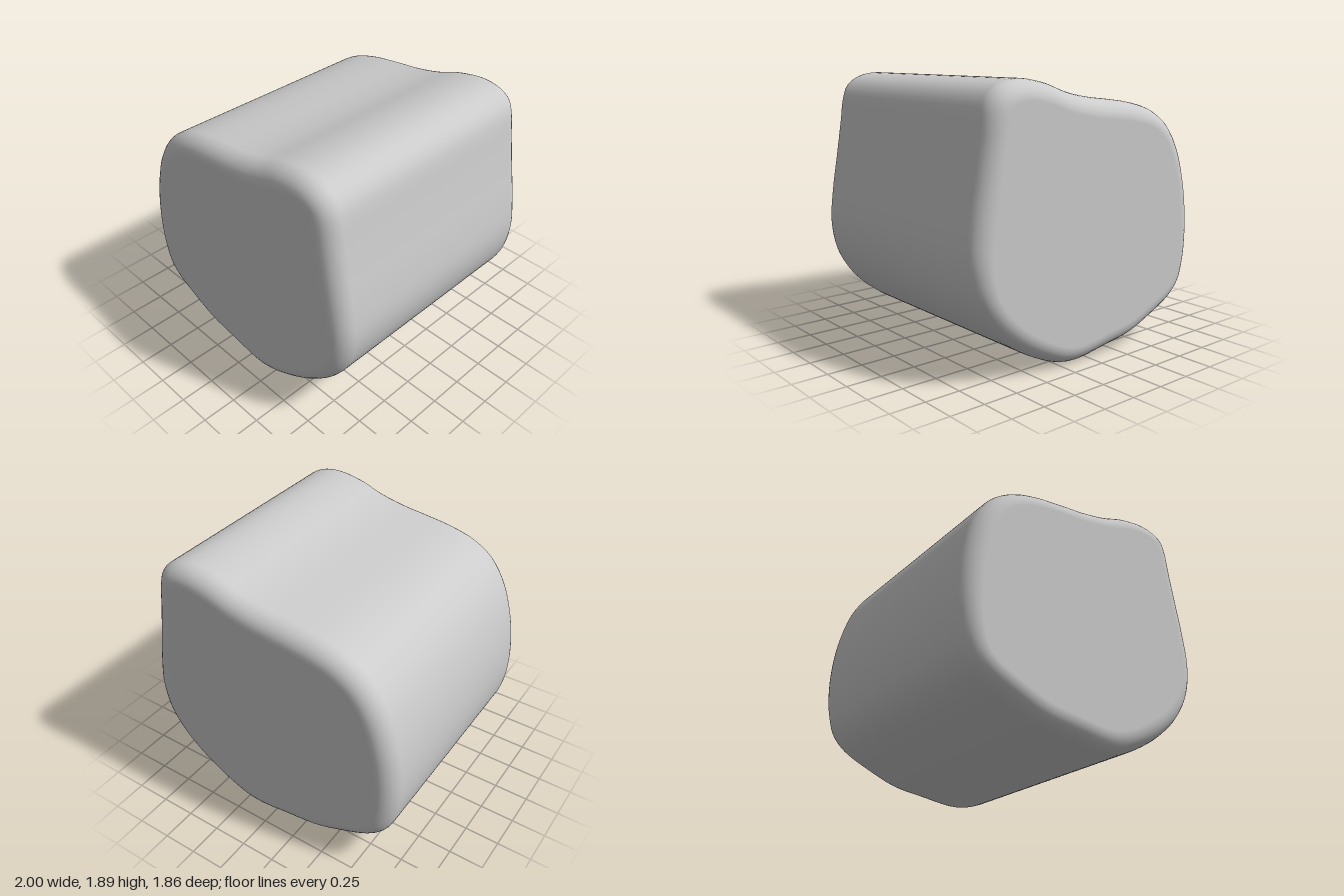
import * as THREE from 'three';

// Irregular outline seen from the front, counter-clockwise from the bottom
const OUTLINE = [
  [0.12, 0.003], [0.27, 0.025], [0.45, 0.10], [0.65, 0.22], [0.83, 0.38], [0.95, 0.57],
  [0.997, 0.80], [0.975, 1.05], [0.93, 1.31], [0.89, 1.55], [0.865, 1.71], [0.825, 1.81],
  [0.74, 1.87], [0.6, 1.897], [0.4, 1.87], [0.2, 1.805], [0, 1.765], [-0.2, 1.742],
  [-0.42, 1.71], [-0.6, 1.655], [-0.75, 1.555], [-0.87, 1.38], [-0.95, 1.15], [-0.99, 0.93],
  [-1, 0.7], [-0.98, 0.52], [-0.93, 0.37], [-0.83, 0.265], [-0.6, 0.15], [-0.4, 0.075], [-0.15, 0.035],
];
const HALF_DEPTH = 0.93, BEVEL = 0.13, SEGMENTS = 200, BEVEL_STEPS = 8;

function roundedPrism() {
  const curve = new THREE.CatmullRomCurve3(
    OUTLINE.map(([x, y]) => new THREE.Vector3(x, y, 0)), true, 'centripetal');
  const points = curve.getSpacedPoints(SEGMENTS).slice(0, SEGMENTS);
  // Outward normals from a wide central difference, to keep the bevel even
  const normals2d = points.map((_, j) => {
    const t = points[(j + 3) % SEGMENTS].clone().sub(points[(j + SEGMENTS - 3) % SEGMENTS]);
    return new THREE.Vector3(t.y, -t.x, 0).normalize();
  });

  const positions = [], normals = [], indices = [];
  const rings = 2 * (BEVEL_STEPS + 1);
  // Cross-sections from back to front: back bevel, straight side, front bevel
  for (let k = 0; k < rings; k++) {
    const front = k > BEVEL_STEPS;
    const step = front ? k - BEVEL_STEPS - 1 : BEVEL_STEPS - k;
    const angle = (step / BEVEL_STEPS) * Math.PI / 2;
    const c = Math.cos(angle), s = Math.sin(angle) * (front ? 1 : -1);
    const z = (front ? 1 : -1) * (HALF_DEPTH - BEVEL) + s * BEVEL;
    points.forEach((p, j) => {
      const n = normals2d[j], inset = BEVEL * (1 - c);
      positions.push(p.x - n.x * inset, p.y - n.y * inset, z);
      normals.push(n.x * c, n.y * c, s);
    });
  }
  for (let k = 0; k < rings - 1; k++) {
    for (let j = 0; j < SEGMENTS; j++) {
      const j2 = (j + 1) % SEGMENTS;
      const a = k * SEGMENTS + j, b = k * SEGMENTS + j2;
      indices.push(a, b, b + SEGMENTS, a, b + SEGMENTS, a + SEGMENTS);
    }
  }
  // Flat end faces, fanned from their centres
  const back = positions.length / 3, last = (rings - 1) * SEGMENTS;
  positions.push(0, 0.9, -HALF_DEPTH, 0, 0.9, HALF_DEPTH);
  normals.push(0, 0, -1, 0, 0, 1);
  for (let j = 0; j < SEGMENTS; j++) {
    const j2 = (j + 1) % SEGMENTS;
    indices.push(back, j2, j, back + 1, last + j, last + j2);
  }

  const geometry = new THREE.BufferGeometry();
  geometry.setAttribute('position', new THREE.Float32BufferAttribute(positions, 3));
  geometry.setAttribute('normal', new THREE.Float32BufferAttribute(normals, 3));
  geometry.setIndex(indices);
  return geometry;
}

export function createModel() {
  const group = new THREE.Group();
  group.name = 'roundedBlock';
  const body = new THREE.Mesh(roundedPrism(), new THREE.MeshStandardMaterial({ color: 0xcccccc }));
  body.name = 'body';
  group.add(body);
  return group;
}
